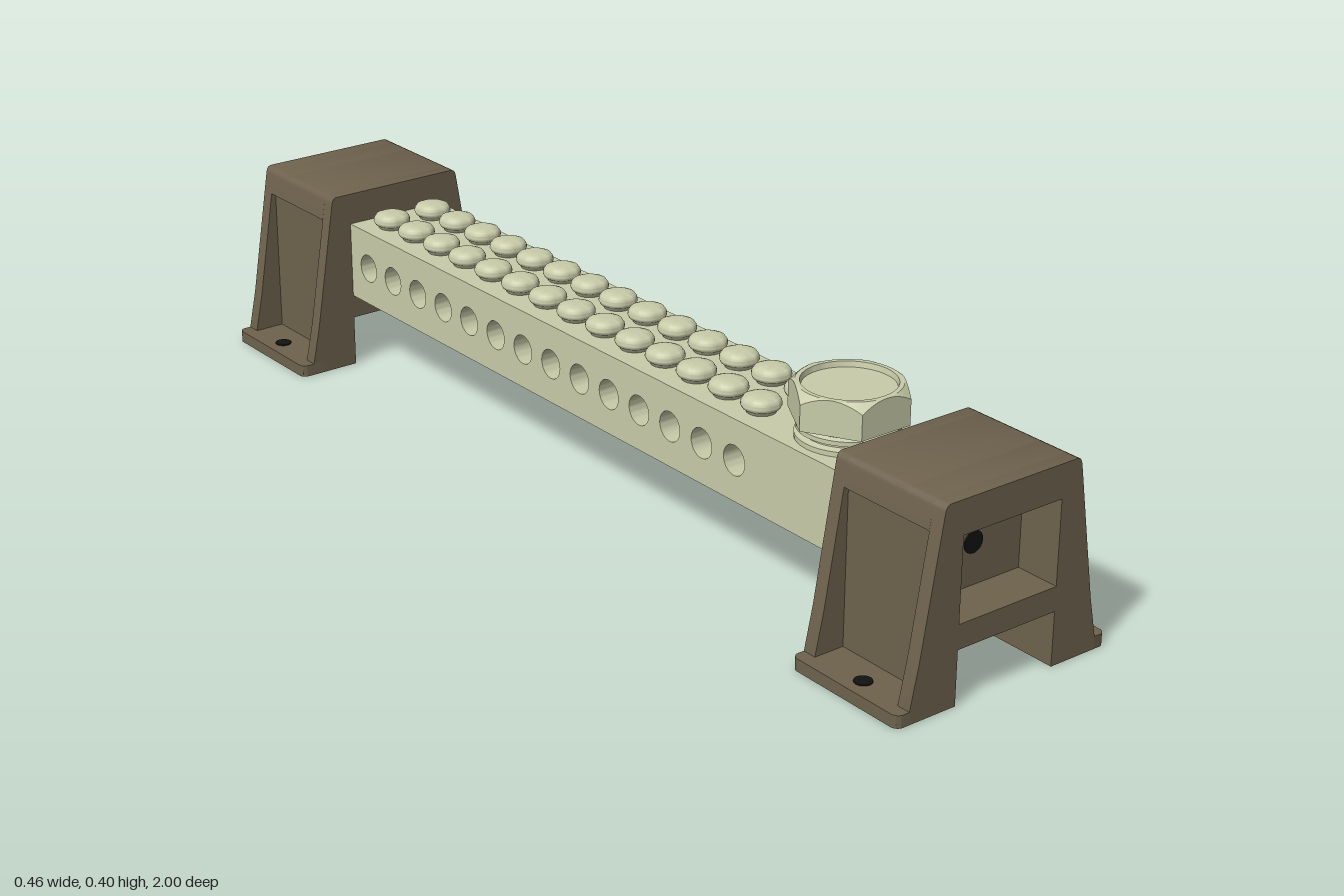
import * as THREE from 'three';
import { toCreasedNormals } from 'three/addons/utils/BufferGeometryUtils.js';

const material = (name, color) => new THREE.MeshStandardMaterial({ name, color });

function add(parent, name, geometry, mat, x = 0, y = 0, z = 0) {
  const mesh = new THREE.Mesh(geometry, mat);
  mesh.name = name;
  mesh.position.set(x, y, z);
  parent.add(mesh);
  return mesh;
}

const extrude = (shape, depth) => toCreasedNormals(
  new THREE.ExtrudeGeometry(shape, { depth, bevelEnabled: false, curveSegments: 16 }), 0.6);

// Closed shape mirrored in x: the points run from the notch corner up to the top centre
function symmetricShape(half) {
  const left = half.slice().reverse().map(([x, y]) => [-x, y]);
  return new THREE.Shape([...half, ...left].map(([x, y]) => new THREE.Vector2(x, y)));
}

function rectangleHole(w, y0, y1) {
  return new THREE.Path([[-w, y0], [-w, y1], [w, y1], [w, y0]].map(p => new THREE.Vector2(...p)));
}

const TOP = [[0.147, 0.348], [0.1455, 0.354], [0.142, 0.359], [0.137, 0.361]];
const FLANGE = [[0.106, 0.1], [0.106, 0], [0.204, 0], [0.204, 0.023], [0.188, 0.1], ...TOP];
const CORE = [[0.106, 0.1], [0.106, 0], [0.144, 0], [0.144, 0.31], [0.1535, 0.31], ...TOP];

// End stand, centred on its own depth, pocket facing +z
function makeStand(mats, side) {
  const stand = new THREE.Group();
  const slab = (name, outline, z0, z1, pocket) => {
    const shape = symmetricShape(outline);
    if (pocket) shape.holes.push(rectangleHole(0.106, 0.145, 0.299));
    add(stand, name, extrude(shape, z1 - z0), mats.brown, 0, 0, z0);
  };
  slab('outerFlange', FLANGE, 0.098, 0.125, true);
  slab('pocketWall', CORE, 0.04, 0.098, true);
  slab('standCore', CORE, -0.098, 0.04, false);
  slab('innerFlange', FLANGE, -0.125, -0.098, false);

  // Foot plates with rounded outer corners
  const r = 0.014, foot = new THREE.Shape();
  foot.moveTo(0.12, -0.125);
  foot.lineTo(0.23 - r, -0.125);
  foot.absarc(0.23 - r, -0.125 + r, r, -Math.PI / 2, 0, false);
  foot.absarc(0.23 - r, 0.125 - r, r, 0, Math.PI / 2, false);
  foot.lineTo(0.12, 0.125);
  const footGeo = extrude(foot, 0.023).rotateX(-Math.PI / 2);
  for (const s of [1, -1]) {
    add(stand, 'footPlate', footGeo, mats.brown).rotation.y = s > 0 ? 0 : Math.PI;
    add(stand, 'footHole', new THREE.CylinderGeometry(0.016, 0.016, 0.003, 16), mats.black,
      s * 0.195, 0.0235, -s * side * 0.008);
  }
  add(stand, 'pocketHole', new THREE.CylinderGeometry(0.02, 0.02, 0.003, 20).rotateX(Math.PI / 2),
    mats.black, 0, 0.223, 0.0405);
  return stand;
}

// Hexagon head with a conical chamfer and a shallow dished top
function hexHead(flat, y0, y1) {
  const n = 72, rings = [];
  const ring = f => rings.push(Array.from({ length: n }, (_, i) => {
    const a = (i / n) * Math.PI * 2;
    const local = (a % (Math.PI / 3)) - Math.PI / 6;
    const [rad, y] = f(flat / Math.cos(local));
    return [rad * Math.cos(a), y, -rad * Math.sin(a)];
  }));
  ring(() => [0, y0]);
  ring(h => [h, y0]);
  ring(h => [h, y1 - 1.15 * (h - flat)]);
  ring(() => [flat - 0.002, y1]);
  ring(() => [flat - 0.01, y1]);
  ring(() => [flat - 0.012, y1 - 0.01]);
  ring(() => [0, y1 - 0.01]);
  const pos = [];
  for (let k = 0; k + 1 < rings.length; k++) {
    for (let i = 0; i < n; i++) {
      const j = (i + 1) % n;
      const a = rings[k][i], b = rings[k][j], c = rings[k + 1][j], d = rings[k + 1][i];
      if (k > 0) pos.push(...a, ...b, ...c);
      if (k === 0) pos.push(...a, ...c, ...d);
      else if (k + 2 < rings.length) pos.push(...a, ...c, ...d);
    }
  }
  const geo = new THREE.BufferGeometry();
  geo.setAttribute('position', new THREE.Float32BufferAttribute(pos, 3));
  geo.computeVertexNormals();
  return toCreasedNormals(geo, 0.3);
}

const lathe = (points, segments) => toCreasedNormals(
  new THREE.LatheGeometry(points.map(p => new THREE.Vector2(...p)), segments), 0.7);

export function createModel() {
  const model = new THREE.Group();
  model.name = 'studdedBarOnStands';
  const mats = {
    brown: material('brown', 0x6e624d),
    cream: material('paleCream', 0xc8cca9),
    black: material('black', 0x121212),
  };

  // Stands at both ends
  for (const side of [1, -1]) {
    const stand = makeStand(mats, side);
    stand.name = side > 0 ? 'frontStand' : 'backStand';
    stand.position.z = side * 0.875;
    stand.rotation.y = side > 0 ? 0 : Math.PI;
    model.add(stand);
  }

  // Bar with a row of through holes
  const rows = Array.from({ length: 14 }, (_, i) => 0.448 - i * 0.0874);
  const profile = new THREE.Shape([[-0.75, 0.147], [0.75, 0.147], [0.75, 0.299], [-0.75, 0.299]]
    .map(p => new THREE.Vector2(...p)));
  for (const z of rows) {
    profile.holes.push(new THREE.Path().absarc(z, 0.223, 0.028, 0, Math.PI * 2, true));
  }
  add(model, 'bar', extrude(profile, 0.212).rotateY(-Math.PI / 2), mats.cream, 0.106);

  // Two columns of rounded studs
  const stud = lathe([[0.026, 0], [0.028, 0.005], [0.033, 0.008], [0.036, 0.014], [0.035, 0.02],
    [0.031, 0.026], [0.022, 0.0295], [0.011, 0.031], [0, 0.0315]], 24);
  for (const z of rows) {
    for (const x of [-0.048, 0.048]) add(model, 'stud', stud, mats.cream, x, 0.299, z);
  }

  // Bolt: stacked washers under the hexagon head
  const bolt = new THREE.Group();
  bolt.name = 'bolt';
  bolt.position.z = 0.613;
  model.add(bolt);
  add(bolt, 'washers', lathe([[0.09, 0.299], [0.09, 0.308], [0.078, 0.311], [0.078, 0.315],
    [0.088, 0.318], [0.088, 0.326], [0.08, 0.329], [0.08, 0.336]], 40), mats.cream);
  add(bolt, 'hexHead', hexHead(0.092, 0.335, 0.398), mats.cream);
  return model;
}
